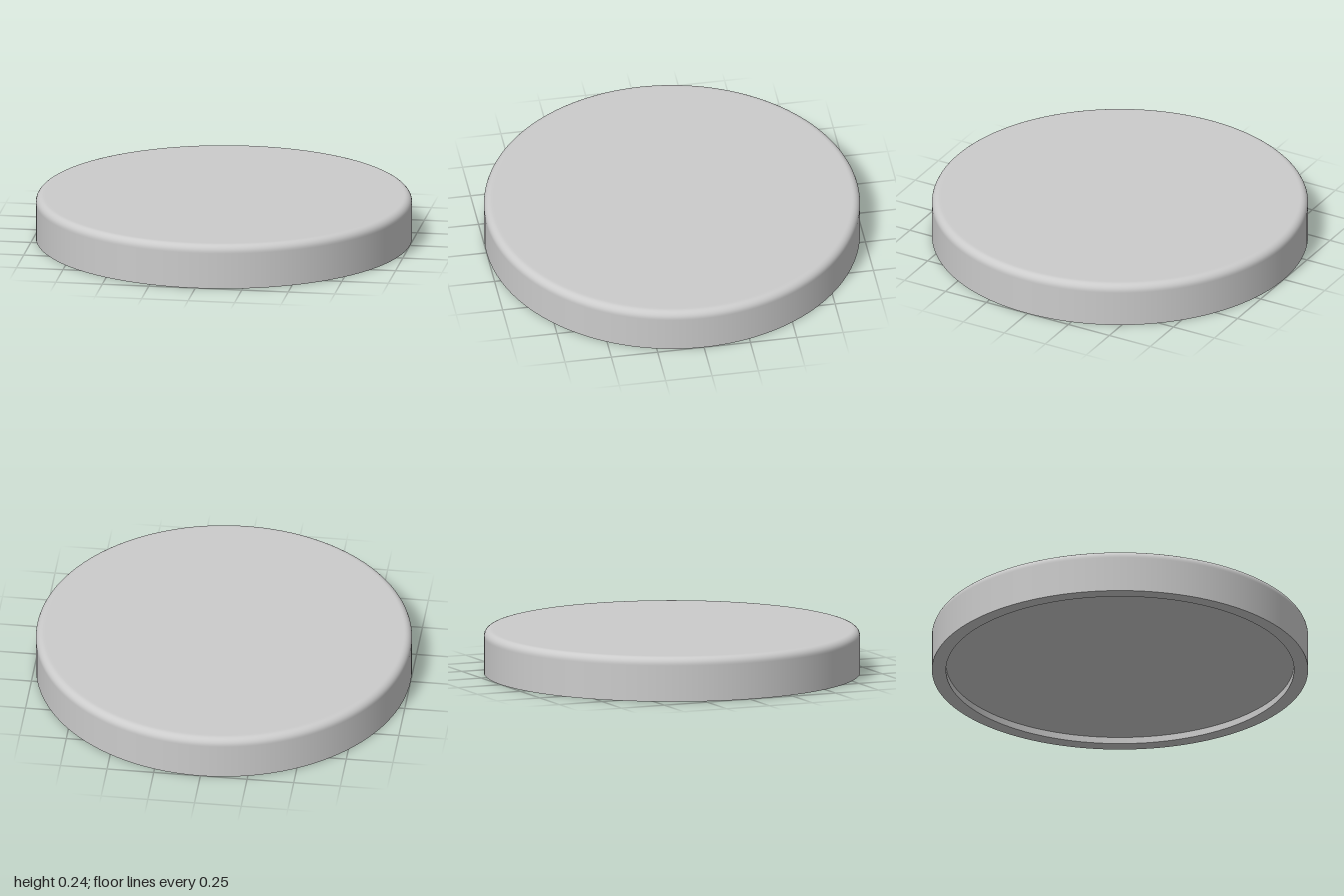
import * as THREE from 'three';

const HEIGHT = 0.238, RADIUS = 1, BEVEL = 0.04;
const INNER = 0.925, RECESS = 0.036, SEGMENTS = 128;

export function createModel() {
  const group = new THREE.Group();
  group.name = 'roundBase';
  const material = new THREE.MeshStandardMaterial({ color: 0xcccccc });

  // Each run of the profile is its own lathe, so the edges between runs stay sharp
  const addLathe = (name, points) => {
    const profile = points.map(([r, y]) => new THREE.Vector2(r, y));
    const mesh = new THREE.Mesh(new THREE.LatheGeometry(profile, SEGMENTS), material);
    mesh.name = name;
    group.add(mesh);
  };

  // Side wall, rounded shoulder and flat top
  const shell = [[RADIUS, 0], [RADIUS, HEIGHT - BEVEL - 0.005]];
  for (let i = 0; i <= 8; i++) {
    const a = (i / 8) * Math.PI / 2;
    shell.push([RADIUS - BEVEL + BEVEL * Math.cos(a), HEIGHT - BEVEL + BEVEL * Math.sin(a)]);
  }
  shell.push([RADIUS - BEVEL - 0.01, HEIGHT], [0, HEIGHT]);
  addLathe('outerShell', shell);

  // Underside: standing rim around a shallow recess
  addLathe('bottomRim', [[INNER, 0], [RADIUS, 0]]);
  addLathe('recessWall', [[INNER, RECESS], [INNER, 0]]);
  addLathe('recessFloor', [[0, RECESS], [INNER, RECESS]]);

  return group;
}
